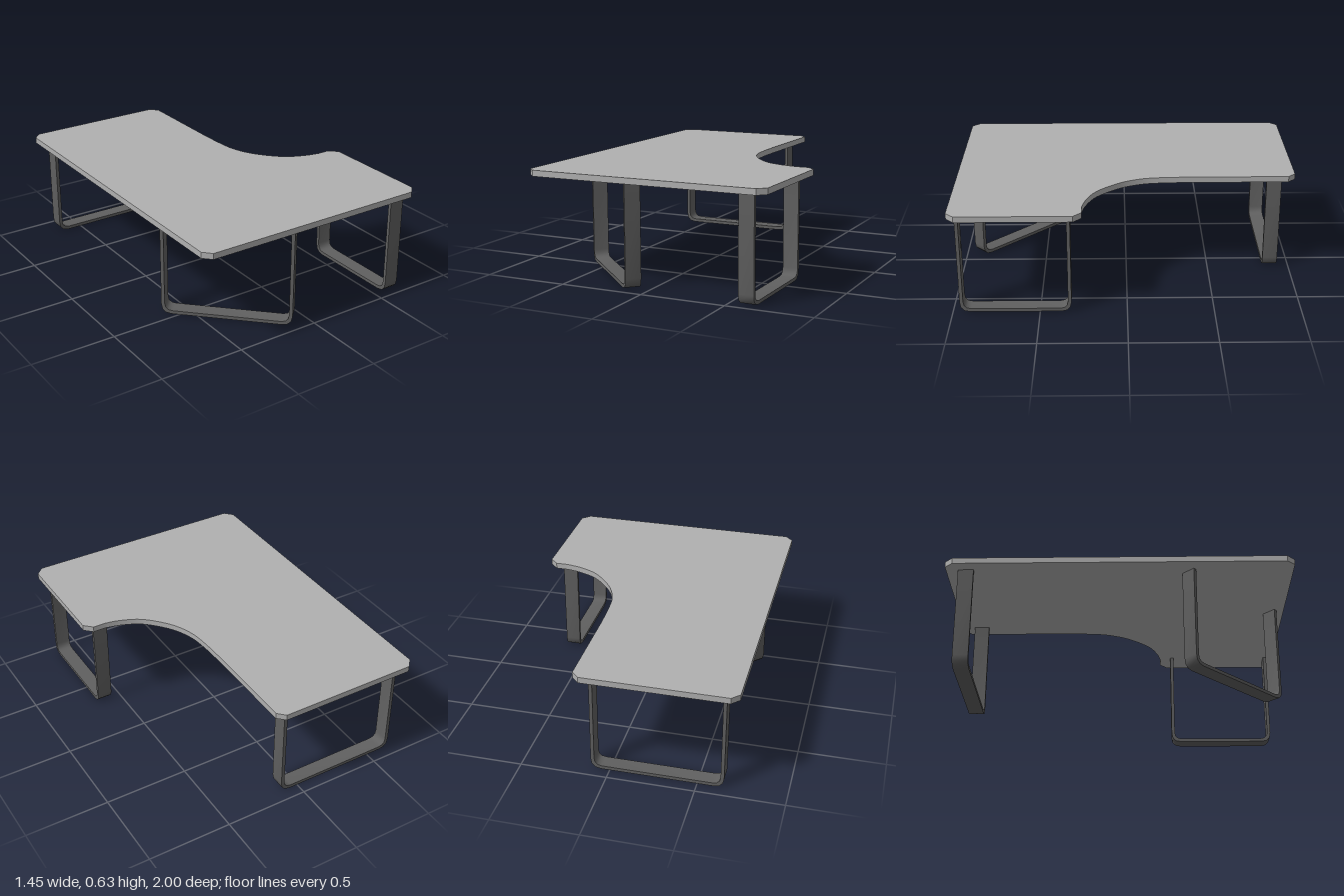
import * as THREE from 'three';
import { toCreasedNormals } from 'three/addons/utils/BufferGeometryUtils.js';

const LEG_TOP = 0.6, LEG_WIDTH = 0.09, BAR = 0.02;

// U-shaped flat band, open at the top, with rounded lower corners
function legGeometry(length) {
  const a = length / 2, b = a - BAR, r = 0.06;
  const s = new THREE.Shape();
  s.moveTo(-a, LEG_TOP);
  s.lineTo(-a, r);
  s.quadraticCurveTo(-a, 0, -a + r, 0);
  s.lineTo(a - r, 0);
  s.quadraticCurveTo(a, 0, a, r);
  s.lineTo(a, LEG_TOP);
  s.lineTo(b, LEG_TOP);
  s.lineTo(b, r + 0.005);
  s.quadraticCurveTo(b, BAR, b - 0.045, BAR);
  s.lineTo(-b + 0.045, BAR);
  s.quadraticCurveTo(-b, BAR, -b, r + 0.005);
  s.lineTo(-b, LEG_TOP);
  s.closePath();
  const g = new THREE.ExtrudeGeometry(s, { depth: LEG_WIDTH, bevelEnabled: false, curveSegments: 3 });
  g.translate(0, 0, -LEG_WIDTH / 2);
  return toCreasedNormals(g, 0.75);
}

// L-shaped top with clipped corners and a curved inner edge, drawn in x and z
function topGeometry() {
  const s = new THREE.Shape();
  s.moveTo(-0.68, -1);
  s.lineTo(0.145, -1);
  s.lineTo(0.188, -0.957);
  s.lineTo(0.188, -0.4);
  s.splineThru([
    [0.194, -0.22], [0.212, -0.09], [0.27, 0.04], [0.385, 0.17], [0.5, 0.23], [0.6, 0.254],
  ].map(([x, z]) => new THREE.Vector2(x, z)));
  s.lineTo(0.675, 0.254);
  s.lineTo(0.722, 0.3);
  s.lineTo(0.722, 0.953);
  s.lineTo(0.675, 1);
  s.lineTo(-0.68, 1);
  s.lineTo(-0.724, 0.953);
  s.lineTo(-0.724, -0.953);
  s.closePath();
  const g = new THREE.ExtrudeGeometry(s, { depth: 0.035, bevelEnabled: false, curveSegments: 4 });
  g.rotateX(Math.PI / 2);
  g.translate(0, 0.635, 0);
  return toCreasedNormals(g, 0.5);
}

export function createModel() {
  const model = new THREE.Group();
  model.name = 'cornerDesk';

  const topGrey = new THREE.MeshStandardMaterial({ color: 0xb0b0b0 });
  topGrey.name = 'topGrey';
  const legGrey = new THREE.MeshStandardMaterial({ color: 0x606060 });
  legGrey.name = 'legGrey';

  const top = new THREE.Mesh(topGeometry(), topGrey);
  top.name = 'deskTop';
  model.add(top);

  // name, length, x, z, turn
  const legs = [
    ['backLeg', 0.76, -0.27, -0.885, 0],
    ['sideLeg', 0.64, 0.605, 0.64, Math.PI / 2],
    ['cornerLeg', 0.75, -0.353, 0.658, -Math.PI / 4],
  ];
  for (const [name, length, x, z, turn] of legs) {
    const leg = new THREE.Mesh(legGeometry(length), legGrey);
    leg.name = name;
    leg.position.set(x, 0, z);
    leg.rotation.y = turn;
    model.add(leg);
  }
  return model;
}
